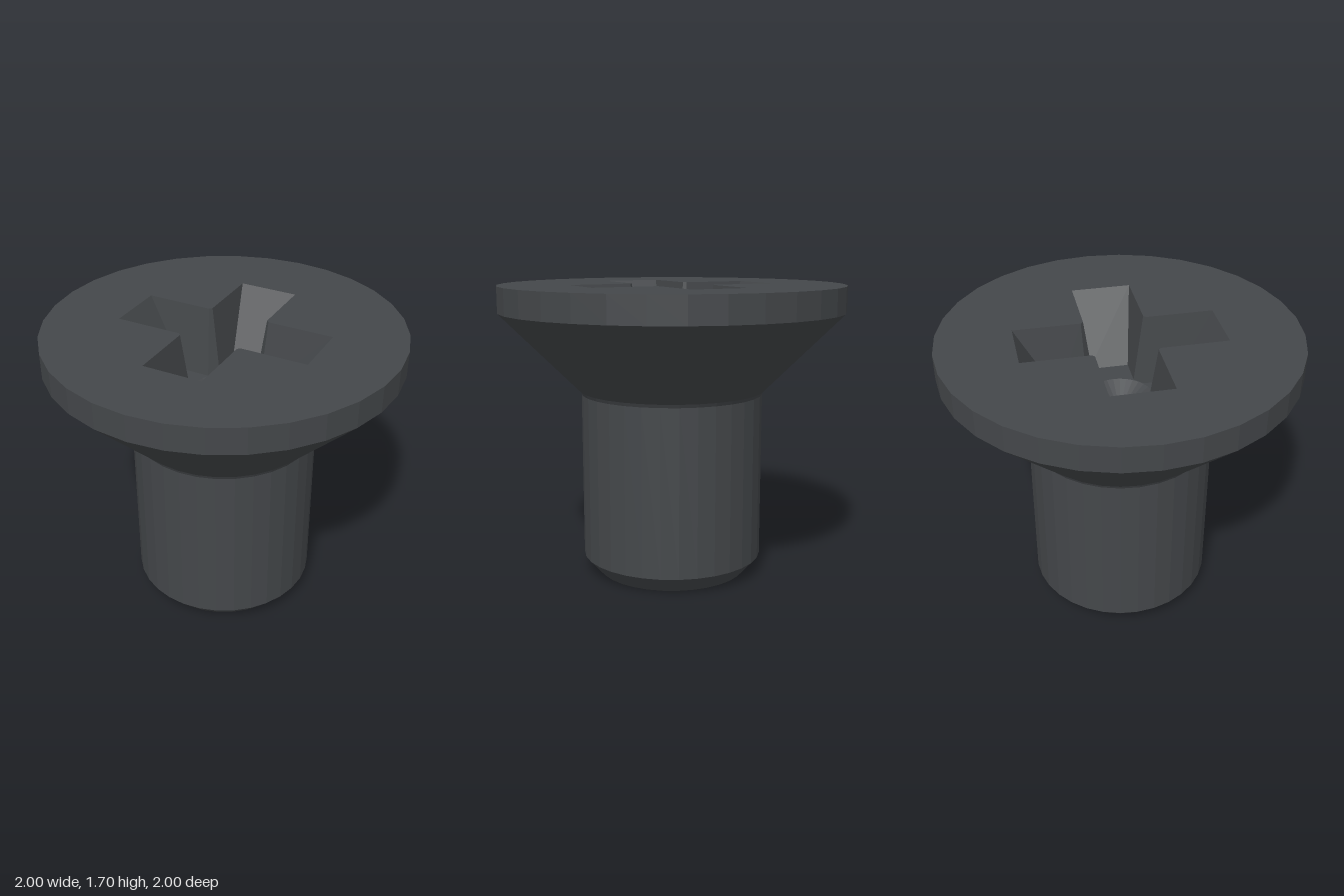
import * as THREE from 'three';

const SIDES = 32, TOP = 1.7, FLOOR = 1.3;

// Points of a regular ring, counter-clockwise
const ring = (r, n) => Array.from({ length: n }, (_, i) => {
  const a = (i / n) * Math.PI * 2;
  return new THREE.Vector2(r * Math.cos(a), r * Math.sin(a));
});

// Cross outline with cut inner corners: arm length, half width, inner corner start
function cross(len, w, c) {
  const pts = [];
  for (let k = 0; k < 4; k++) {
    for (const [x, y] of [[c, -w], [len, -w], [len, w], [c, w]]) {
      pts.push(new THREE.Vector2(x, y).rotateAround(new THREE.Vector2(), k * Math.PI / 2));
    }
  }
  return pts;
}

// Flat upward-facing plate with one hole
function plate(outline, hole, y) {
  const shape = new THREE.Shape(outline);
  shape.holes.push(new THREE.Path(hole));
  return new THREE.ShapeGeometry(shape).rotateX(-Math.PI / 2).translate(0, y, 0);
}

// Inward-facing walls between two outlines
function walls(upper, lower, yUpper, yLower) {
  const pos = [];
  upper.forEach((a, i) => {
    const j = (i + 1) % upper.length;
    const at = (p, y) => [p.x, y, -p.y];
    const [A, B, C, D] = [at(a, yUpper), at(upper[j], yUpper), at(lower[j], yLower), at(lower[i], yLower)];
    pos.push(...A, ...B, ...C, ...A, ...C, ...D);
  });
  const g = new THREE.BufferGeometry();
  g.setAttribute('position', new THREE.Float32BufferAttribute(pos, 3));
  g.computeVertexNormals();
  return g;
}

const lathe = (profile, n) =>
  new THREE.LatheGeometry(profile.map(([x, y]) => new THREE.Vector2(x, y)), n);

export function createModel() {
  const group = new THREE.Group();
  const material = new THREE.MeshStandardMaterial({ color: 0x44474a, flatShading: true });
  const add = (name, geometry) => {
    const mesh = new THREE.Mesh(geometry, material);
    mesh.name = name;
    group.add(mesh);
  };

  const opening = cross(0.565, 0.17, 0.185);
  const bottom = cross(0.33, 0.115, 0.165);

  // Shank with chamfered tip
  add('shank', lathe([[0, 0], [0.44, 0], [0.53, 0.1], [0.53, 1.07]], SIDES));
  // Countersunk head with a slight fillet and a straight rim
  add('head', lathe([[0.53, 1.07], [0.54, 1.09], [1, 1.55], [1, TOP]], SIDES));
  add('headTop', plate(ring(1, SIDES), opening, TOP));

  // Tapered cross recess with a shallow conical centre
  add('recessWalls', walls(opening, bottom, TOP, FLOOR));
  add('recessFloor', plate(bottom, ring(0.195, SIDES), FLOOR));
  add('recessCone', lathe([[0.195, FLOOR], [0, FLOOR - 0.1]], SIDES));

  return group;
}
